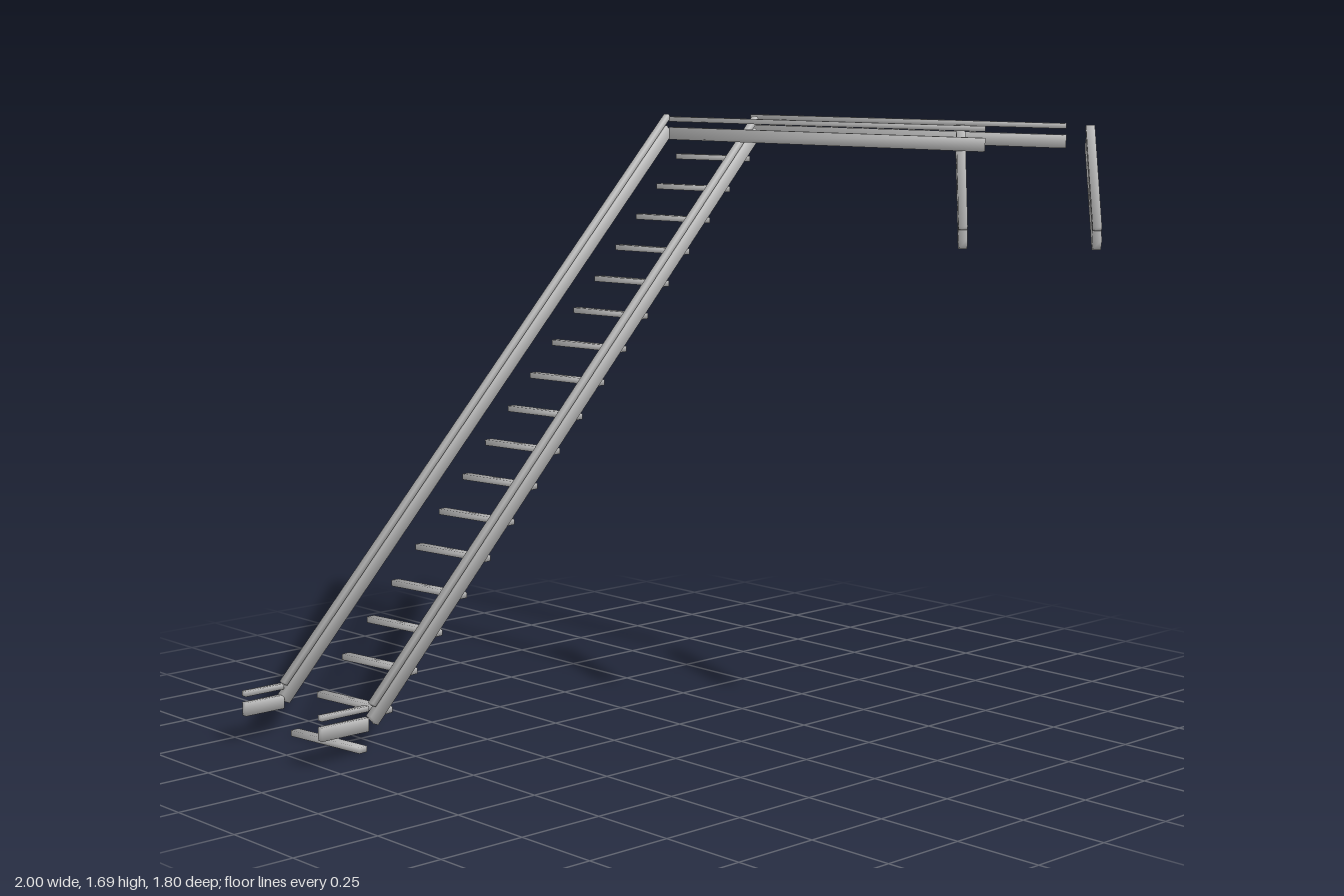
import * as THREE from 'three';

const steel = new THREE.MeshStandardMaterial({ color: 0xc0c0c0 });
steel.name = 'light grey steel';

// Box with soft, corner-averaged normals
function softBox(w, h, l) {
  const g = new THREE.BoxGeometry(w, h, l);
  const p = g.attributes.position, n = g.attributes.normal;
  const s = 1 / Math.sqrt(3);
  for (let i = 0; i < p.count; i++) {
    n.setXYZ(i, Math.sign(p.getX(i)) * s, Math.sign(p.getY(i)) * s, Math.sign(p.getZ(i)) * s);
  }
  return g;
}

// One straight bar from a to b
function bar(name, a, b, width, height) {
  const mesh = new THREE.Mesh(softBox(width, height, a.distanceTo(b)), steel);
  mesh.name = name;
  mesh.position.copy(a).add(b).multiplyScalar(0.5);
  mesh.lookAt(b);
  return mesh;
}

// Handrail: a deep lower bar with a thin bar straight above it
function rail(name, a, b, width) {
  const A = new THREE.Vector3(...a), B = new THREE.Vector3(...b);
  const lift = new THREE.Vector3(0, 0.044, 0);
  const group = new THREE.Group();
  group.name = name;
  group.add(bar('lowerBar', A, B, width, 0.038));
  group.add(bar('upperBar', A.clone().add(lift), B.clone().add(lift), width, 0.015));
  return group;
}

export function createModel() {
  const model = new THREE.Group();
  model.name = 'staircaseWithHandrails';

  // Treads
  const treads = new THREE.Group();
  treads.name = 'treads';
  const treadGeometry = softBox(0.027, 0.017, 0.28);
  const count = 18;
  for (let i = 0; i < count; i++) {
    const t = i / (count - 1);
    const tread = new THREE.Mesh(treadGeometry, steel);
    tread.name = 'tread';
    tread.position.set(-0.85 + 1.657 * t, 0.0095 + 1.55 * t, -0.514 - 0.19 * t);
    tread.rotation.y = 0.113;
    treads.add(tread);
  }
  model.add(treads);

  // Sloping stair rails and their short level ends at the foot
  for (const [side, x, z, endX] of [['Back', -0.04, -0.70, -0.872], ['Front', 0, -0.34, -0.845]]) {
    model.add(rail('stairRail' + side, [-0.828 + x, 0.098, z], [0.824 + x, 1.643, z - 0.19], 0.02));
    model.add(rail('footRail' + side, [-1, 0.091, z], [endX, 0.091, z], 0.018));
  }

  // Level landing rails and the start of the next flight
  for (const [side, x] of [['Inner', 0.628], ['Outer', 0.986]]) {
    model.add(rail('landingRail' + side, [x, 1.64, 0.555], [x, 1.64, -0.705], 0.018));
  }
  for (const [side, x, z] of [['Inner', 0.483, 0.611], ['Outer', 0.728, 0.877]]) {
    model.add(rail('lowerFlightRail' + side, [x, 1.376, z], [x + 0.205, 1.642, z - 0.19], 0.025));
  }
  return model;
}
